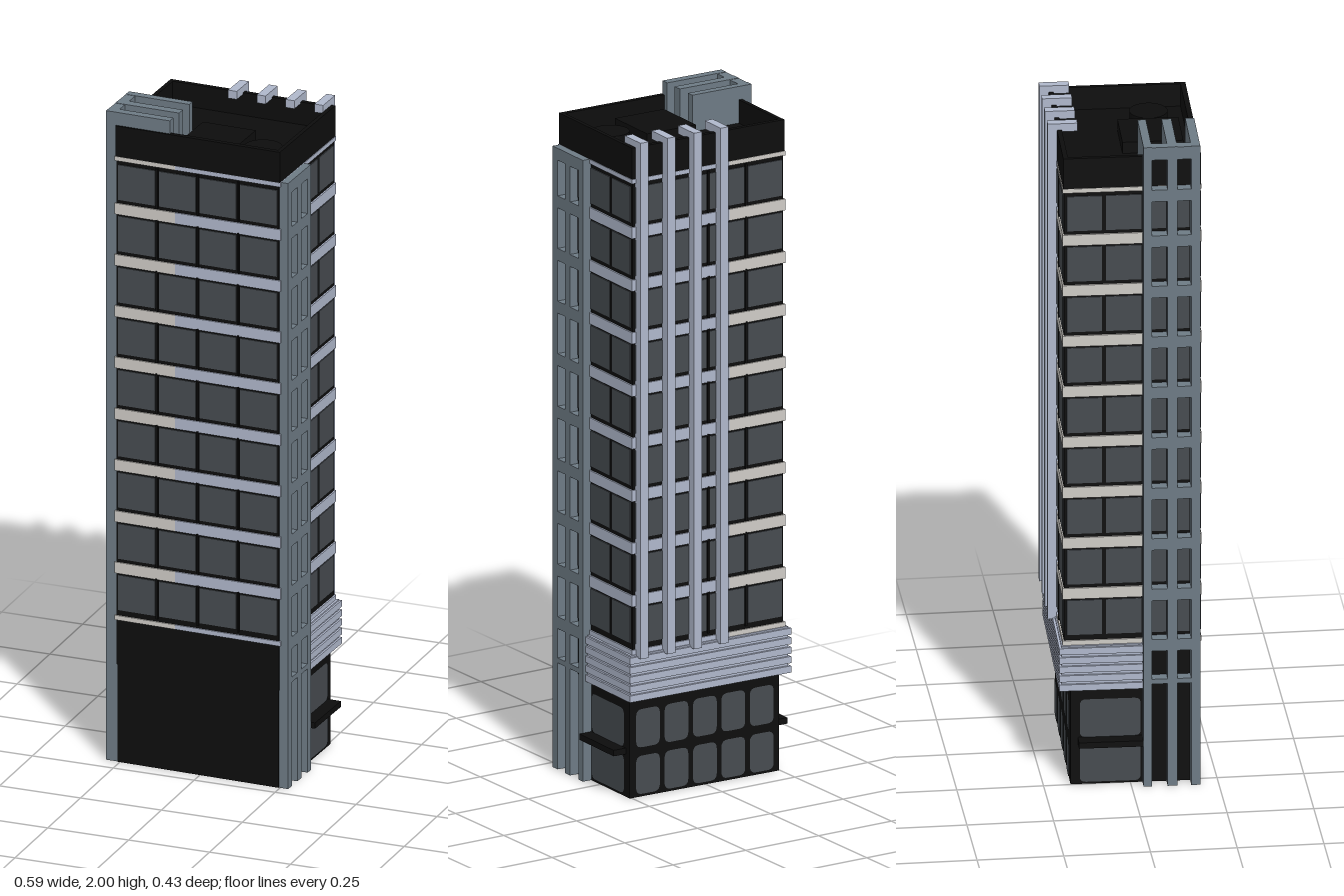
import * as THREE from 'three';

const mat = (name, color) => {
  const m = new THREE.MeshStandardMaterial({ color });
  m.name = name;
  return m;
};

export function createModel() {
  const black = mat('black wall', 0x0d0d0d);
  const glass = mat('dark glass', 0x464b50);
  const pale = mat('pale blue cladding', 0xb0b8cc);
  const warm = mat('warm white band', 0xcfccc7);
  const grey = mat('slate fin', 0x6e7b85);

  const tower = new THREE.Group();
  tower.name = 'tower';
  // box given by its extents
  const box = (name, m, x0, x1, y0, y1, z0, z1) => {
    const b = new THREE.Mesh(new THREE.BoxGeometry(x1 - x0, y1 - y0, z1 - z0), m);
    b.position.set((x0 + x1) / 2, (y0 + y1) / 2, (z0 + z1) / 2);
    b.name = name;
    tower.add(b);
    return b;
  };
  const W = 0.254, B = -0.184, F = 0.207, ROOF = 1.89;

  // Main volumes
  box('base', black, -0.252, 0.252, 0, 0.31, -0.165, F);
  box('shaft', black, -W, W, 0.3, ROOF, B, F);

  // Parapet around the sunken roof
  const t = 0.012;
  box('parapetFront', black, -0.257, 0.257, 1.866, 1.96, F - t, F + 0.003);
  box('parapetBack', black, -0.257, 0.257, 1.866, 1.96, B - 0.002, B + t);
  for (const s of [-1, 1]) {
    const a = s * 0.257, b = s * (0.257 - t);
    box('parapetSide', black, Math.min(a, b), Math.max(a, b), 1.866, 1.96, B + t, F - t);
  }
  box('roofHouse', black, -0.075, 0.09, ROOF, 1.925, 0, 0.175);
  const tank = new THREE.Mesh(new THREE.CylinderGeometry(0.055, 0.055, 0.03, 24), black);
  tank.name = 'roofTank';
  tank.position.set(0.155, ROOF + 0.015, 0.095);
  tower.add(tank);

  // Floor bands, warm on one part and pale on the other
  const band = (y0, y1) => {
    box('warmBand', warm, -0.259, -0.07, y0, y1, B - 0.004, F + 0.004);
    box('paleBand', pale, -0.07, 0.259, y0, y1, B - 0.004, F + 0.004);
  };
  band(0.438, 0.452);
  band(1.853, 1.866);
  const step = 0.158, first = 0.52;
  for (let i = 0; i < 8; i++) {
    const y = first + (i + 0.5) * step;
    band(y - 0.017, y + 0.017);
  }

  // Windows of the nine floors
  const finZ = [[0.042, 0.066], [0.111, 0.139], [0.179, 0.205]];
  const e = 0.003;
  for (let i = 0; i < 9; i++) {
    const y = first + i * step + 0.003, y0 = y - 0.054, y1 = y + 0.054;
    for (let k = 0; k < 4; k++) {
      const x0 = -W + k * 0.127 + 0.006, x1 = x0 + 0.115;
      box('frontWindow', glass, x0, x1, y0, y1, F - e, F + e);
      box('backWindow', glass, x0, x1, y0, y1, B - e, B + e);
      if (k > 0) {
        box('frontMullion', black, x0 - 0.009, x0 - 0.003, y0 - 0.008, y1 + 0.008, F, F + 0.006);
        box('backMullion', black, x0 - 0.009, x0 - 0.003, y0 - 0.008, y1 + 0.008, B - 0.006, B);
      }
    }
    const spans = [[-0.176, -0.075], [-0.063, 0.038], [0.068, 0.109], [0.141, 0.177]];
    for (const s of [-1, 1])
      for (const [z0, z1] of spans)
        box('sideWindow', glass, s * W - e, s * W + e, y0, y1, z0, z1);
  }

  // Side fins with small panels between them
  for (const s of [-1, 1]) {
    const inner = s * 0.25, outer = s < 0 ? -0.288 : 0.281;
    const x0 = Math.min(inner, outer), x1 = Math.max(inner, outer);
    for (const [z0, z1] of finZ) box('sideFin', grey, x0, x1, 0, s < 0 ? 2 : 1.866, z0, z1);
    for (let i = 0; i <= 9; i++) {
      const y = i === 9 ? 1.848 : first + (i - 0.5) * step;
      for (let k = 0; k < 2; k++)
        box('finPanel', grey, x0, x1, y - 0.018, y + 0.018, finZ[k][1], finZ[k + 1][0]);
    }
    for (let k = 0; k < 2; k++)
      box('lowerFinPanel', grey, x0, x1, 0.32, 0.335, finZ[k][1], finZ[k + 1][0]);
  }
  // Roof arms of the tall fins
  for (const [z0, z1] of finZ) box('roofArm', grey, -0.26, -0.089, ROOF, 2, z0, Math.min(z1, 0.2049));
  box('roofArmLink', grey, -0.288, -0.258, 1.96, 1.999, finZ[0][1], finZ[2][0]);

  // Back pilasters with hooks over the parapet
  for (let k = 0; k < 4; k++) {
    const x = -0.052 + k * 0.09;
    box('pilaster', pale, x, x + 0.027, 0.43, 1.98, -0.213, B);
    box('pilasterHook', pale, x, x + 0.027, 1.955, 1.98, B, -0.127);
  }

  // Ribbed cladding above the base
  box('claddingCore', pale, -0.266, 0.266, 0.302, 0.438, -0.192, 0.041);
  for (let i = 0; i < 5; i++) {
    const y = 0.3 + i * 0.0284;
    box('claddingRib', pale, -0.272, 0.272, y, y + 0.02, -0.199, 0.042);
  }

  // Base windows with rounded corners, drawn in their own plane
  const pane = (w, h, r) => {
    const s = new THREE.Shape();
    const x = w / 2, y = h / 2;
    s.moveTo(-x + r, -y).lineTo(x - r, -y).quadraticCurveTo(x, -y, x, -y + r);
    s.lineTo(x, y - r).quadraticCurveTo(x, y, x - r, y);
    s.lineTo(-x + r, y).quadraticCurveTo(-x, y, -x, y - r);
    s.lineTo(-x, -y + r).quadraticCurveTo(-x, -y, -x + r, -y);
    return new THREE.ShapeGeometry(s, 5);
  };
  const addPane = (name, g, x, y, z, turn) => {
    const p = new THREE.Mesh(g, glass);
    p.name = name;
    p.position.set(x, y, z);
    p.rotation.y = turn;
    tower.add(p);
  };
  const backPane = pane(0.08, 0.115, 0.02), sidePane = pane(0.175, 0.118, 0.018);
  for (const y of [0.066, 0.206]) {
    for (let k = -2; k <= 2; k++) addPane('baseBackWindow', backPane, k * 0.096, y, -0.168, Math.PI);
    for (const s of [-1, 1]) addPane('baseSideWindow', sidePane, s * 0.255, y, -0.051, s * Math.PI / 2);
  }

  // Side canopies
  box('canopy', black, 0.25, 0.293, 0.128, 0.146, -0.144, 0.041);
  box('canopy', black, -0.293, -0.25, 0.128, 0.146, -0.144, 0.041);

  // The whole tower stands slightly turned
  tower.rotation.y = -0.028;
  const model = new THREE.Group();
  model.name = 'officeTower';
  model.add(tower);
  return model;
}
